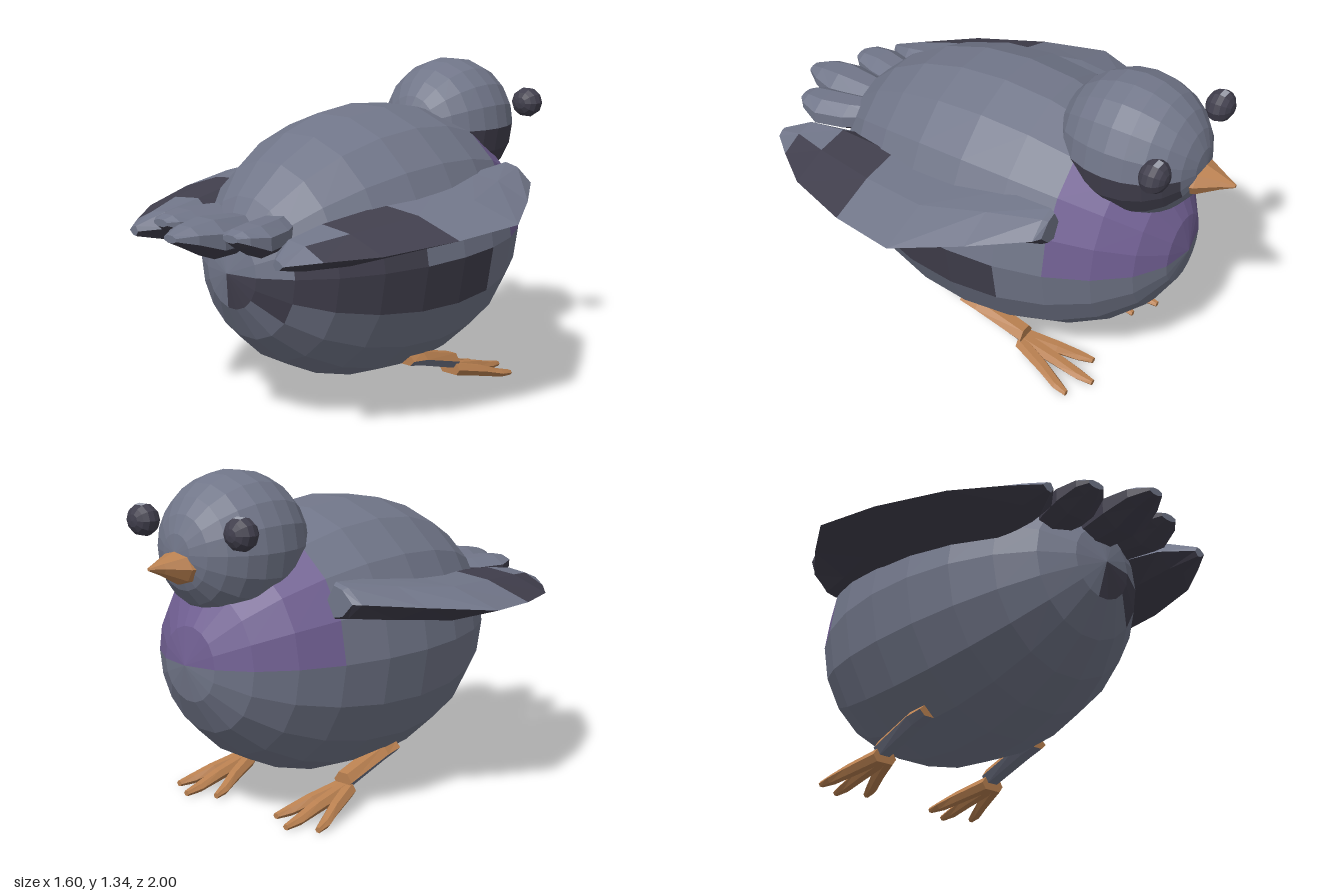
import * as THREE from 'three';

const paint = (name, color) => {
  const m = new THREE.MeshStandardMaterial({ color, flatShading: true });
  m.name = name;
  return m;
};

// Skins a list of equal-sized rings; pick(i, j) gives the material index of each face.
function loft(name, rings, materials, pick = () => 0) {
  const n = rings[0].length, faces = materials.map(() => []);
  let volume = 0;
  const tri = (slot, a, b, c) => {
    const area = new THREE.Vector3().subVectors(b, a).cross(new THREE.Vector3().subVectors(c, a)).length();
    if (area < 1e-7) return;
    volume += a.dot(new THREE.Vector3().crossVectors(b, c));
    faces[slot].push([a, b, c]);
  };
  for (let i = 0; i < rings.length - 1; i++) {
    for (let j = 0; j < n; j++) {
      const k = (j + 1) % n, p = rings[i], q = rings[i + 1], s = pick(i, j);
      tri(s, p[j], p[k], q[k]);
      tri(s, p[j], q[k], q[j]);
    }
  }
  const last = rings[rings.length - 1];
  for (let j = 1; j < n - 1; j++) {
    tri(0, rings[0][0], rings[0][j + 1], rings[0][j]);
    tri(0, last[0], last[j], last[j + 1]);
  }
  const geo = new THREE.BufferGeometry(), pos = [];
  faces.forEach((list, s) => {
    const start = pos.length / 3;
    for (const [a, b, c] of list) {
      for (const v of volume < 0 ? [a, c, b] : [a, b, c]) pos.push(v.x, v.y, v.z);
    }
    geo.addGroup(start, list.length * 3, s);
  });
  geo.setAttribute('position', new THREE.Float32BufferAttribute(pos, 3));
  geo.computeVertexNormals();
  const mesh = new THREE.Mesh(geo, materials);
  mesh.name = name;
  return mesh;
}

// Upright elliptical ring at depth z.
const ring = (x, y, z, rx, ry, n, turn = 0) => Array.from({ length: n }, (_, j) => {
  const a = (j / n) * Math.PI * 2 + turn;
  return new THREE.Vector3(x + rx * Math.cos(a), y + ry * Math.sin(a), z);
});

// Ellipsoid with its poles along z, ringed from tail end to beak end.
const ellipsoid = (x, y, z, rx, ry, rz, n, steps) => Array.from({ length: steps + 1 }, (_, k) => {
  const a = (k / steps) * Math.PI, s = k % steps ? Math.sin(a) : 0;
  return ring(x, y, z + rz * Math.cos(a), rx * s, ry * s, n);
});

export function createModel() {
  const bird = new THREE.Group();
  bird.name = 'bird';
  const grey = paint('slate grey', 0x717689);
  const dark = paint('charcoal', 0x413f4d);
  const purple = paint('breast purple', 0x705f92);
  const orange = paint('orange', 0xb98050);
  const shine = paint('eye shine', 0x9a9eaa);

  // Body with purple breast and a dark flank patch on its left-hand side
  bird.add(loft('body', ellipsoid(0, 0.65, -0.055, 0.515, 0.558, 0.79, 18, 12), [grey, dark, purple], (k, j) => {
    if (k >= 8 && j < 9) return 2;
    if ((j === 17 && k < 7) || (j === 0 && k > 1 && k < 5)) return 1;
    if ((j === 16 && k < 2) || (k === 0 && j > 12)) return 1;
    return 0;
  }));

  // Head with a dark cheek patch
  bird.add(loft('head', ellipsoid(0, 1.07, -0.585, 0.268, 0.282, 0.295, 18, 12), [grey, dark],
    (k, j) => (j >= 16 && k >= 4 && k < 10 ? 1 : 0)));

  // Beak
  bird.add(loft('beak', [
    ring(0, 1.02, -0.8, 0.105, 0.075, 8),
    ring(0, 1.02, -0.87, 0.085, 0.062, 8),
    ring(0, 1.028, -0.95, 0.035, 0.026, 8),
    ring(0, 1.03, -1, 0.008, 0.006, 8)], [orange]));

  // Central tail feather
  const feather = (name, spine) => loft(name,
    spine.map(([x, y, z, rx, ry]) => ring(x, y, z, rx, ry, 8, Math.PI / 8)),
    [grey, dark], (i, j) => (j >= 3 && j <= 6 ? 1 : 0));
  bird.add(feather('tailFeatherMiddle', [
    [0, 0.81, 0.55, 0.07, 0.05], [0, 0.8, 0.7, 0.095, 0.075], [0, 0.805, 0.83, 0.115, 0.08],
    [0, 0.825, 0.93, 0.085, 0.045], [0, 0.83, 1, 0.035, 0.015]]));

  // Wing stations: z, inner x, outer x, middle y, half height
  const wing = [
    [-0.48, 0.38, 0.5, 0.89, 0.06], [-0.46, 0.36, 0.53, 0.89, 0.07], [-0.25, 0.3, 0.665, 0.865, 0.078],
    [0, 0.28, 0.8, 0.835, 0.08], [0.28, 0.26, 0.745, 0.815, 0.08], [0.57, 0.24, 0.635, 0.792, 0.072],
    [0.74, 0.28, 0.51, 0.782, 0.055], [0.85, 0.37, 0.42, 0.772, 0.02]];

  for (const [side, s] of [['left', 1], ['right', -1]]) {
    // Wing: grey above with a dark bar, dark below
    const sections = wing.map(([z, a, b, y, h]) => [
      [a, y], [a + (b - a) * 0.25, y + h], [a + (b - a) * 0.6, y + h * 0.8],
      [b, y], [a + (b - a) * 0.6, y - h * 0.85], [a + (b - a) * 0.25, y - h],
    ].map(([x, v]) => new THREE.Vector3(x * s, v, z)));
    bird.add(loft(side + 'Wing', sections, [grey, dark],
      (i, j) => (j > 2 || i === 4 || (i === 5 && j === 2) ? 1 : 0)));

    // Outer tail feather
    bird.add(feather(side + 'TailFeather', [
      [0.12 * s, 0.83, 0.52, 0.06, 0.05], [0.16 * s, 0.815, 0.65, 0.095, 0.065],
      [0.19 * s, 0.815, 0.77, 0.1, 0.065], [0.19 * s, 0.835, 0.85, 0.075, 0.035],
      [0.19 * s, 0.84, 0.885, 0.04, 0.015]]));

    // Bulging eye with a small shine on top
    bird.add(loft(side + 'Eye', ellipsoid(0.262 * s, 1.16, -0.798, 0.07, 0.064, 0.056, 10, 8), [dark, shine],
      (k, j) => (k === 4 && j === 2 ? 1 : 0)));

    // Leg, orange above and grey below
    const x = 0.278 * s;
    bird.add(loft(side + 'Leg', [
      ring(x, 0.195, 0.02, 0.045, 0.025, 6),
      ring(x, 0.185, -0.06, 0.05, 0.035, 6),
      ring(x, 0.12, -0.28, 0.045, 0.038, 6)], [orange, grey], (i, j) => (j >= 3 ? 1 : 0)));

    // Foot with three splayed toes
    const foot = new THREE.Group();
    foot.name = side + 'Foot';
    for (const t of [-1, 0, 1]) {
      const len = t ? 0.28 : 0.34;
      foot.add(loft('toe', [
        ring(x + t * 0.02, 0.088, -0.265, 0.035, 0.03, 6),
        ring(x + t * 0.065, 0.055, -0.265 - len * 0.5, 0.03, 0.026, 6),
        ring(x + t * 0.095, 0.03, -0.265 - len * 0.8, 0.027, 0.019, 6),
        ring(x + t * 0.11, 0.021, -0.265 - len, 0.014, 0.012, 6)], [orange]));
    }
    bird.add(foot);
  }

  // Rest the toes on the ground
  const box = new THREE.Box3().setFromObject(bird);
  bird.position.y = -box.min.y;
  return bird;
}
